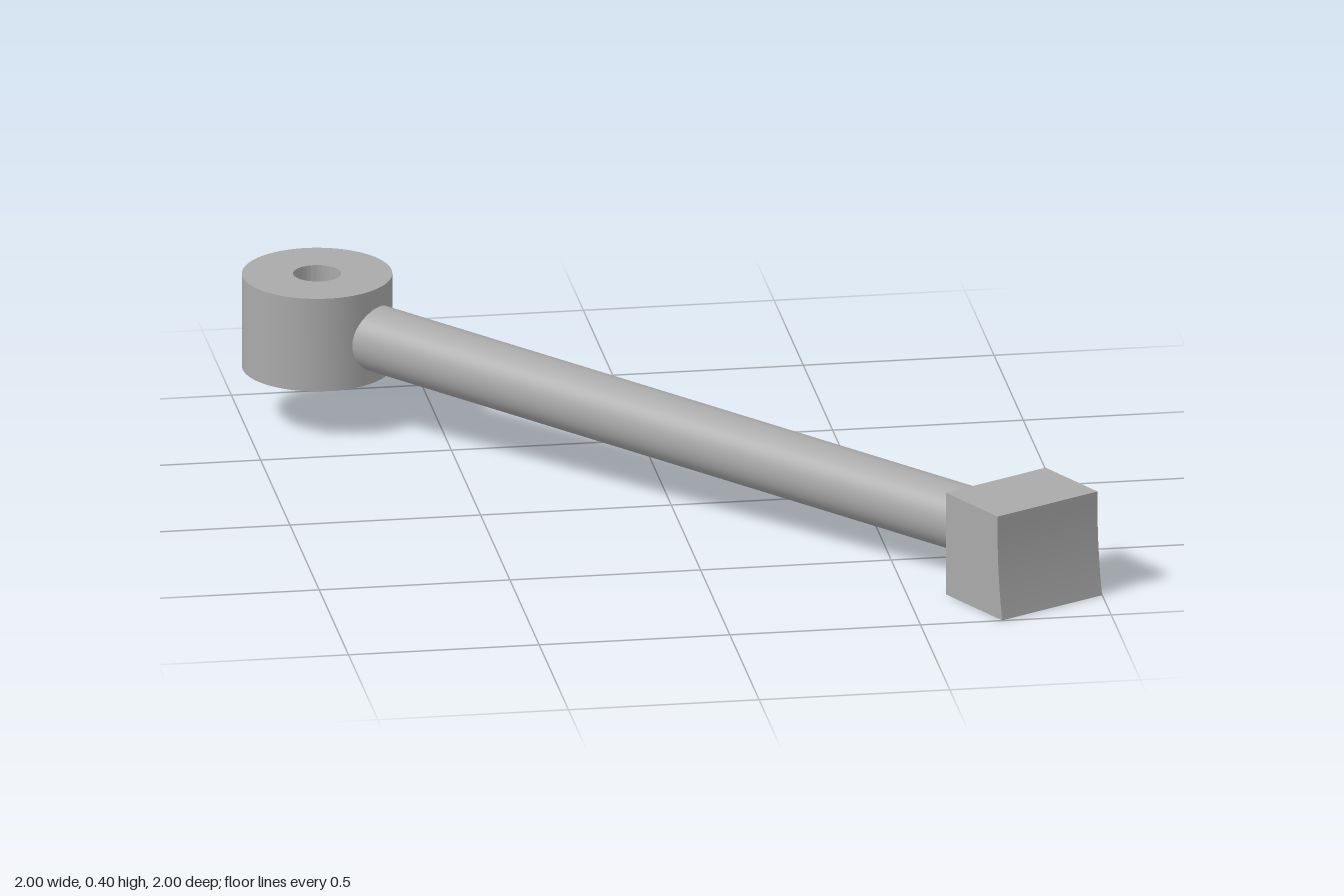
import * as THREE from 'three';
import { toCreasedNormals } from 'three/addons/utils/BufferGeometryUtils.js';

export function createModel() {
  const group = new THREE.Group();
  const grey = new THREE.MeshStandardMaterial({ color: 0xaaaaaa });
  grey.name = 'plain grey';

  const add = (name, geometry) => {
    const mesh = new THREE.Mesh(geometry, grey);
    mesh.name = name;
    group.add(mesh);
    return mesh;
  };

  // Pivot eye: thick ring with a vertical through hole
  const outer = 0.195, inner = 0.0625, low = 0.14, high = 0.395;
  const profile = [[inner, low], [outer, low], [outer, high], [inner, high], [inner, low]]
    .map(([r, y]) => new THREE.Vector2(r, y));
  const eye = add('pivotEye', toCreasedNormals(new THREE.LatheGeometry(profile, 72), 0.6));
  eye.position.set(-0.805, 0, -0.805);

  // Sloping round arm, from the middle of the eye into the block
  const start = new THREE.Vector3(-0.805, 0.267, -0.805);
  const end = new THREE.Vector3(0.783, 0.145, 0.745);
  const along = end.clone().sub(start);
  const arm = add('arm', new THREE.CylinderGeometry(0.087, 0.087, along.length(), 48));
  arm.position.copy(start).add(end).multiplyScalar(0.5);
  arm.quaternion.setFromUnitVectors(new THREE.Vector3(0, 1, 0), along.normalize());

  // End block: its front face flares out slightly towards the bottom
  const depth = 0.226, width = 0.322, height = 0.28;
  const side = new THREE.Shape();
  side.moveTo(0, 0);
  side.lineTo(depth + 0.02, 0);
  side.quadraticCurveTo(depth - 0.003, height / 2, depth, height);
  side.lineTo(0, height);
  side.closePath();
  const blockGeometry = new THREE.ExtrudeGeometry(side, { depth: width, bevelEnabled: false, curveSegments: 16 });
  blockGeometry.translate(0, 0, -width / 2);
  const block = add('endBlock', toCreasedNormals(blockGeometry, 0.6));
  block.position.set(0.7425, 0, 0.705);
  block.rotation.y = -Math.atan2(0.885, 0.465);

  return group;
}
